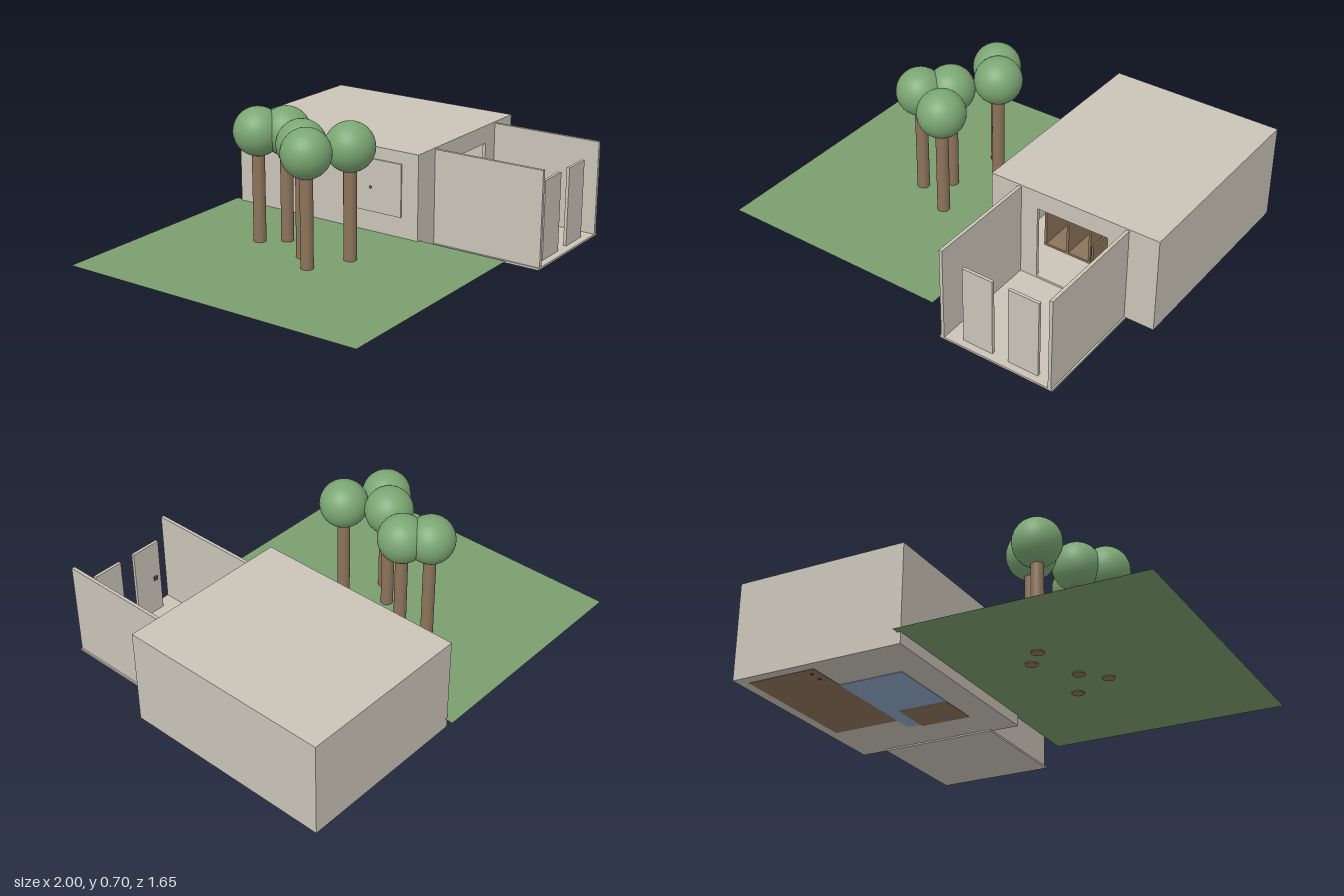
import * as THREE from 'three';

const mat = (name, color, side = THREE.FrontSide) => {
  const m = new THREE.MeshStandardMaterial({ color, side });
  m.name = name;
  return m;
};

export function createModel() {
  const wall = mat('plaster', 0xcac4b7);
  const lawnGreen = mat('lawn green', 0x7a9e6e, THREE.DoubleSide);
  const leaf = mat('foliage green', 0x7ba673);
  const wood = mat('wood', 0x8c735a);
  const blue = mat('fabric blue', 0x8fa6c8);
  const dark = mat('dark metal', 0x5a5650);

  const model = new THREE.Group();
  model.name = 'houseWithGarden';

  const group = (name) => {
    const g = new THREE.Group();
    g.name = name;
    model.add(g);
    return g;
  };
  // box given by its lower and upper limits on each axis
  const box = (parent, name, material, [x0, x1], [y0, y1], [z0, z1]) => {
    const mesh = new THREE.Mesh(new THREE.BoxGeometry(x1 - x0, y1 - y0, z1 - z0), material);
    mesh.position.set((x0 + x1) / 2, (y0 + y1) / 2, (z0 + z1) / 2);
    mesh.name = name;
    parent.add(mesh);
    return mesh;
  };

  // lawn
  const lawn = new THREE.Mesh(new THREE.PlaneGeometry(1.16, 1.55).rotateX(-Math.PI / 2), lawnGreen);
  lawn.position.set(-0.42, 0.06, -0.055);
  lawn.name = 'lawn';
  model.add(lawn);

  // trees
  const trunkGeo = new THREE.CylinderGeometry(0.03, 0.03, 0.455, 24);
  const crownGeo = new THREE.SphereGeometry(0.115, 32, 20);
  for (const [x, z] of [[-0.265, -0.345], [-0.185, -0.245], [-0.32, -0.055], [-0.42, 0.045], [-0.225, 0.14]]) {
    const tree = group('tree');
    tree.position.set(x, 0, z);
    const trunk = new THREE.Mesh(trunkGeo, wood);
    trunk.position.y = 0.2825;
    trunk.name = 'trunk';
    const crown = new THREE.Mesh(crownGeo, leaf);
    crown.position.y = 0.59;
    crown.name = 'crown';
    tree.add(trunk, crown);
  }

  // main house: floor, roof and walls, hollow inside
  const house = group('house');
  const t = 0.015;
  box(house, 'floor', wall, [0.145, 1], [0.007, 0.02], [-0.79, 0.26]);
  box(house, 'roof', wall, [0.145, 1], [0.465, 0.48], [-0.79, 0.26]);
  box(house, 'backWall', wall, [0.145, 1], [0.02, 0.465], [-0.79, -0.79 + t]);
  box(house, 'leftWall', wall, [1 - t, 1], [0.02, 0.465], [-0.79 + t, 0.26 - t]);
  box(house, 'rightWall', wall, [0.145, 0.145 + t], [0.02, 0.465], [-0.79 + t, 0.26 - t]);

  // front wall with the doorway cut out
  const front = new THREE.Shape([[0.145, 0.02], [0.39, 0.02], [0.39, 0.39], [0.75, 0.39], [0.75, 0.02],
    [1, 0.02], [1, 0.465], [0.145, 0.465]].map(([x, y]) => new THREE.Vector2(x, y)));
  const frontWall = new THREE.Mesh(new THREE.ExtrudeGeometry(front, { depth: t, bevelEnabled: false }), wall);
  frontWall.position.z = 0.26 - t;
  frontWall.name = 'frontWall';
  house.add(frontWall);

  // shutter on the garden side, with its knob
  box(house, 'shutter', wall, [0.138, 0.146], [0.16, 0.42], [-0.16, 0.17]);
  const knob = new THREE.Mesh(new THREE.SphereGeometry(0.007, 12, 8), dark);
  knob.position.set(0.138, 0.28, 0);
  knob.name = 'knob';
  house.add(knob);

  // open porch with two standing panels
  const porch = group('porch');
  box(porch, 'porchFloor', wall, [0.28, 0.86], [0, 0.01], [0.24, 0.825]);
  for (const x of [0.288, 0.837]) box(porch, 'porchWall', wall, [x, x + 0.016], [0.01, 0.472], [0.26, 0.825]);
  for (const x of [0.38, 0.612]) {
    box(porch, 'panel', wall, [x, x + 0.152], [0.01, 0.395], [0.775, 0.79]);
    box(porch, 'panelHandle', dark, [x + 0.025, x + 0.045], [0.19, 0.21], [0.767, 0.775]);
  }

  // furniture, with feet just showing under the floor
  const inside = group('furniture');
  box(inside, 'bed', wood, [0.61, 0.95], [0.005, 0.12], [-0.74, -0.06]);
  box(inside, 'rug', blue, [0.29, 0.61], [0.005, 0.023], [-0.54, 0.03]);
  box(inside, 'deskBase', wood, [0.29, 0.54], [0.0045, 0.03], [-0.16, 0.05]);
  box(inside, 'deskTop', wood, [0.29, 0.545], [0.215, 0.23], [-0.16, 0.05]);
  box(inside, 'deskBack', wood, [0.29, 0.54], [0.03, 0.215], [-0.16, -0.145]);
  for (const x of [0.29, 0.41, 0.528]) box(inside, 'deskSide', wood, [x, x + 0.012], [0.03, 0.215], [-0.145, 0.05]);
  box(inside, 'stool', wood, [0.545, 0.555], [0.02, 0.12], [-0.1, 0.05]);
  for (const z of [-0.7, -0.64]) box(inside, 'foot', dark, [0.64, 0.652], [0, 0.008], [z - 0.005, z + 0.005]);

  return model;
}
